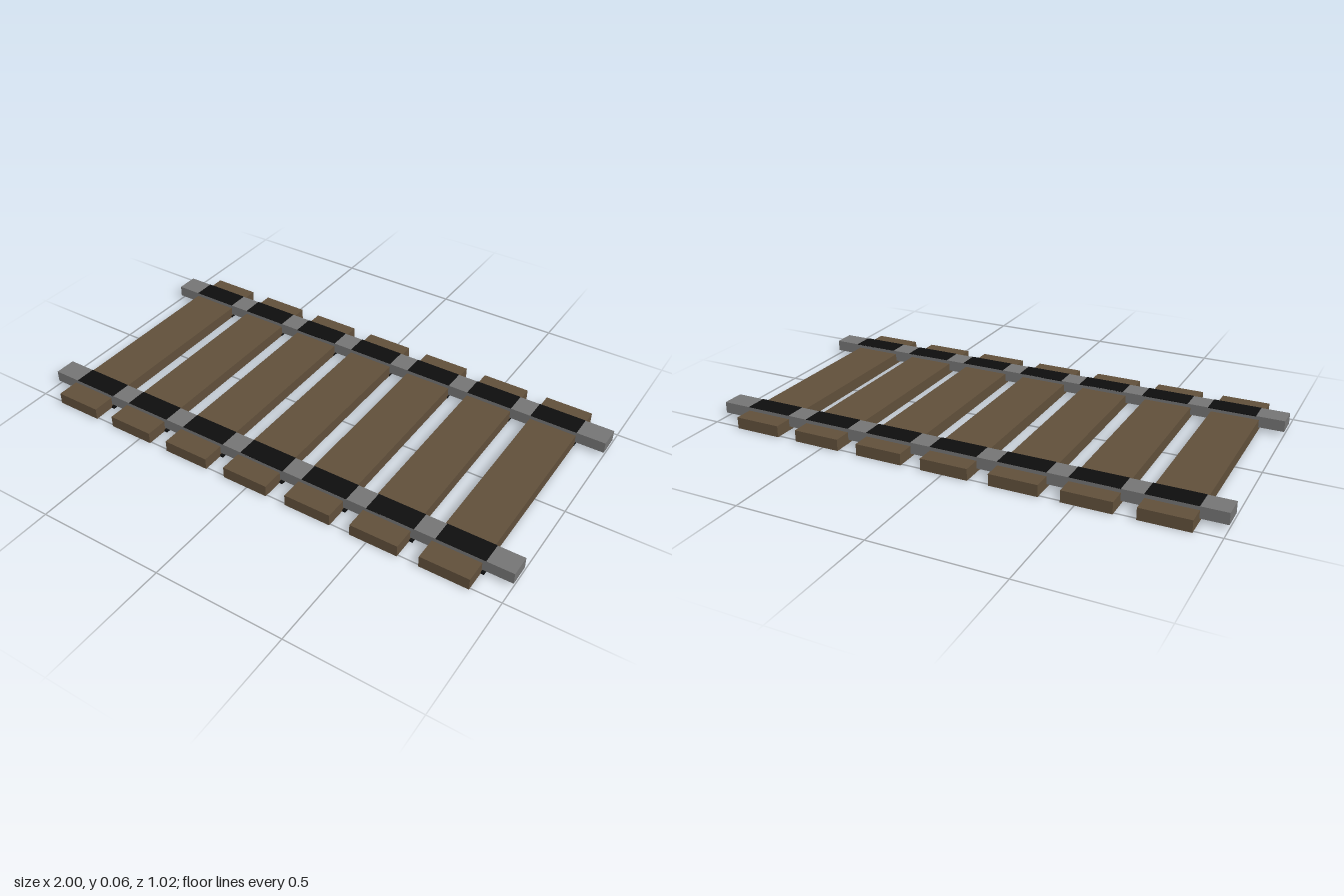
import * as THREE from 'three';

export function createModel() {
  const group = new THREE.Group();
  const mat = (name, color) => {
    const m = new THREE.MeshStandardMaterial({ color });
    m.name = name;
    return m;
  };
  const wood = mat('brown wood', 0x604f3a);
  const steel = mat('grey steel', 0x747474);
  const black = mat('black plate', 0x0d0d0d);

  // Box given by its limits on each axis
  const box = (name, material, [x0, x1], [y0, y1], [z0, z1]) => {
    const mesh = new THREE.Mesh(new THREE.BoxGeometry(x1 - x0, y1 - y0, z1 - z0), material);
    mesh.position.set((x0 + x1) / 2, (y0 + y1) / 2, (z0 + z1) / 2);
    mesh.name = name;
    group.add(mesh);
  };

  // Two rails, each with the sideways shift of its plates
  const rails = [
    { name: 'frontRail', z: [0.335, 0.42], shift: 0.012 },
    { name: 'backRail', z: [-0.44, -0.353], shift: 0.001 },
  ];
  for (const r of rails) box(r.name, steel, [-1, 1], [0.016, 0.06], r.z);

  // Seven cross ties with black plates over the rails and under the ties
  for (let i = 0; i < 7; i++) {
    const x0 = -0.902 + i * 0.267;
    const x1 = x0 + 0.186;
    box('tie', wood, [x0, x1], [0.001, 0.046], [-0.512, 0.508]);
    for (const r of rails) {
      const span = [x0 + r.shift, x1 + r.shift];
      box('railPlate', black, span, [0.058, 0.061], r.z);
      box('underPlate', black, span, [0, 0.009], [r.z[0] - 0.004, r.z[1] + 0.004]);
    }
  }
  return group;
}
